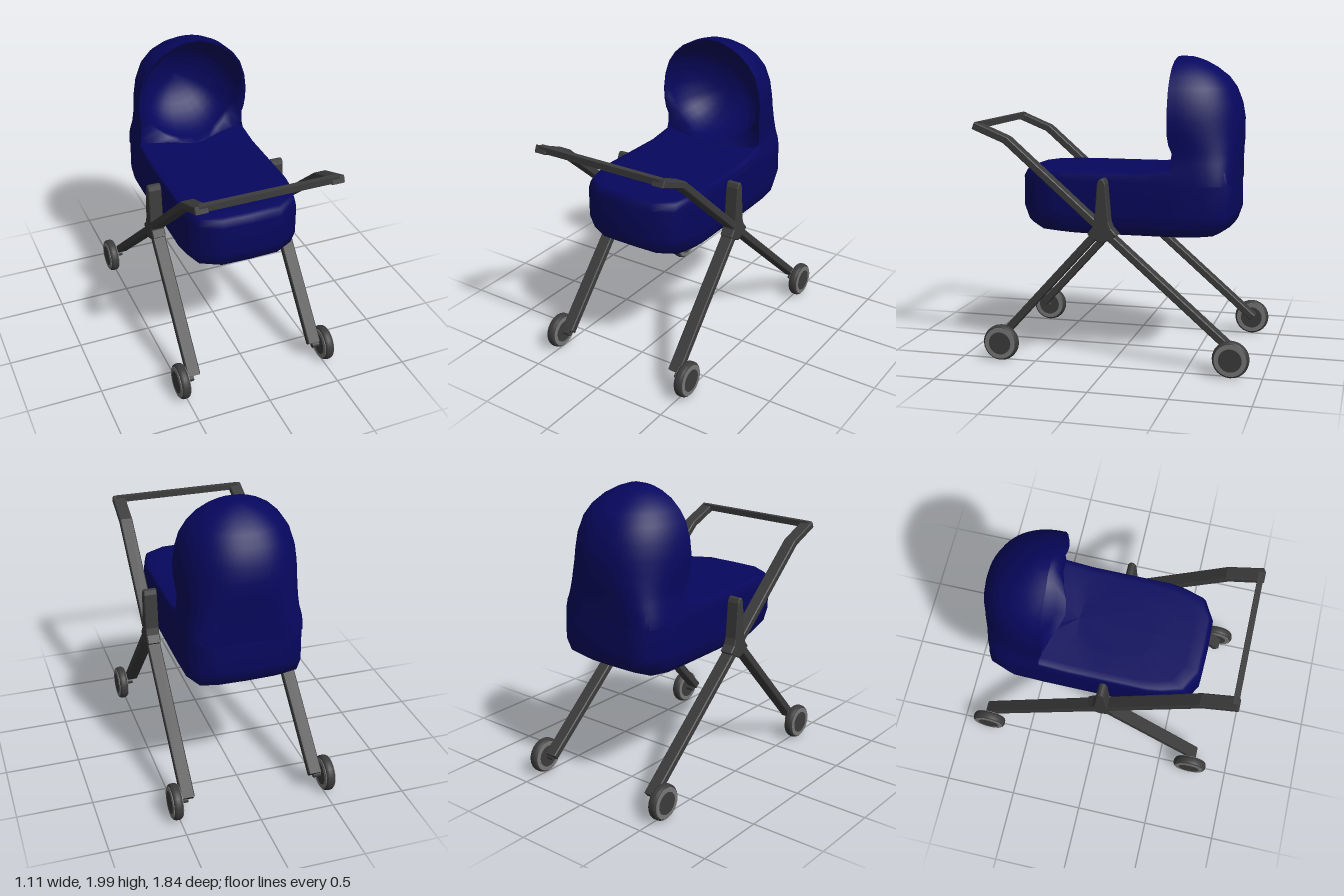
import * as THREE from 'three';

const fabric = new THREE.MeshStandardMaterial({ color: 0x07075e, side: THREE.DoubleSide });
const metal = new THREE.MeshStandardMaterial({ color: 0x3c3c3c });
const grey = new THREE.MeshStandardMaterial({ color: 0x777777 });

const lerp = THREE.MathUtils.lerp;

function add(parent, name, geometry, material) {
  const mesh = new THREE.Mesh(geometry, material);
  mesh.name = name;
  parent.add(mesh);
  return mesh;
}

// Skin over rows of [x, y, z] points
function loft(rows, closed) {
  const n = rows[0].length, index = [];
  for (let i = 0; i < rows.length - 1; i++) {
    for (let j = 0; j < (closed ? n : n - 1); j++) {
      const k = (j + 1) % n;
      const a = i * n + j, b = i * n + k, c = b + n, d = a + n;
      index.push(a, b, c, a, c, d);
    }
  }
  const g = new THREE.BufferGeometry();
  g.setAttribute('position', new THREE.Float32BufferAttribute(rows.flat(2), 3));
  g.setIndex(index);
  g.computeVertexNormals();
  return g;
}

// Plate drawn in the side plane as [z, y] points, centred on x = 0
function sidePlate(points, width) {
  const bevel = 0.006;
  const shape = new THREE.Shape(points.map(p => new THREE.Vector2(...p)));
  const depth = width - 2 * bevel;
  return new THREE.ExtrudeGeometry(shape, {
    depth, bevelSize: bevel, bevelThickness: bevel, bevelOffset: -bevel, bevelSegments: 1,
  }).translate(0, 0, -depth / 2).rotateY(-Math.PI / 2);
}

// Outline of a bent bar of even thickness
function strip(path, t) {
  const left = [], right = [];
  path.forEach((p, i) => {
    const a = path[Math.max(i - 1, 0)], b = path[Math.min(i + 1, path.length - 1)];
    const dz = b[0] - a[0], dy = b[1] - a[1], l = Math.hypot(dz, dy);
    const oz = -dy / l * t / 2, oy = dz / l * t / 2;
    left.push([p[0] + oz, p[1] + oy]);
    right.unshift([p[0] - oz, p[1] - oy]);
  });
  return [...left, ...right];
}

// Tub: one plan outline, resized at each height
function tubGeometry() {
  const half = [[0, 0.665], [0.2, 0.66], [0.335, 0.585], [0.375, 0.45], [0.39, 0.35], [0.39, 0.05],
    [0.39, -0.2], [0.39, -0.38], [0.385, -0.6], [0.335, -0.735], [0.2, -0.765], [0, -0.77]];
  const plan = [...half, ...half.slice(1, -1).reverse().map(([x, z]) => [-x, z])];
  // height, width scale, front z, back z
  const levels = [
    [0.833, 0, -0.05, -0.05], [0.833, 0.5, 0.36, -0.46], [0.842, 0.74, 0.47, -0.57],
    [0.862, 0.885, 0.57, -0.67], [0.91, 0.96, 0.638, -0.74], [1.0, 1, 0.668, -0.77],
    [1.2, 1, 0.668, -0.765], [1.245, 0.985, 0.647, -0.75], [1.262, 0.96, 0.63, -0.73],
    [1.264, 0.85, 0.55, -0.68], [1.264, 0.5, 0.3, -0.5], [1.264, 0, -0.2, -0.2],
  ];
  return loft(levels.map(([y, s, f, b]) => plan.map(([x, z]) => {
    const pz = lerp(b, f, (z + 0.77) / 1.435);
    const rise = y > 1.24 ? 0.028 * THREE.MathUtils.clamp((-0.2 - pz) / 0.18, 0, 1) : 0;
    return [x * s, y + rise, pz];
  })), true);
}

// Hood levels: height, half width, depth, front z
const hoodLevels = [
  [1.19, 0.391, 0.388, -0.38], [1.26, 0.386, 0.39, -0.38], [1.33, 0.372, 0.394, -0.38],
  [1.4, 0.37, 0.4, -0.38], [1.45, 0.376, 0.427, -0.36], [1.52, 0.383, 0.44, -0.35],
  [1.6, 0.386, 0.443, -0.35], [1.7, 0.374, 0.426, -0.35], [1.8, 0.342, 0.387, -0.35],
  [1.87, 0.294, 0.335, -0.35], [1.93, 0.228, 0.257, -0.35], [1.97, 0.153, 0.183, -0.352],
  [1.99, 0.092, 0.125, -0.355], [2.0, 0.045, 0.08, -0.36], [2.0, 0, 0, -0.36],
];

// Outer hood: boxy at the tub, round at the crown
function hoodGeometry() {
  const n = 32;
  return loft(hoodLevels.map(([y, w, d, front]) => {
    const e = lerp(0.42, 0.88, THREE.MathUtils.smoothstep(y, 1.2, 1.65));
    return Array.from({ length: n + 1 }, (_, i) => {
      const a = Math.PI * i / n, c = Math.cos(a), s = Math.max(Math.sin(a), 0);
      return [w * Math.sign(c) * Math.abs(c) ** e, y, front - d * s ** e];
    });
  }), false);
}

// Inner hood: a flange narrowing to an oval opening, then a bowl sunk back from it
function liningGeometry() {
  const side = [[0.1, 1.268, -0.31], [0.2, 1.272, -0.35], [0.31, 1.275, -0.378],
    ...hoodLevels.slice(2, -1).map(([y, w, , f]) => [w, y, f])];
  const rim = [[0, 1.265, -0.29], ...side, [0, 2, -0.36],
    ...side.slice().reverse().map(([x, y, z]) => [-x, y, z])];
  const cy = 1.625, deep = 0.35;
  const opening = rim.map(([x, y, z]) => {
    const k = Math.min(0.97, 1 / Math.hypot(x / 0.362, (y - cy) / 0.352));
    return [x * k, cy + (y - cy) * k, z - 0.006];
  });
  const rows = [rim, opening];
  for (let i = 1; i <= 10; i++) {
    const a = Math.PI / 2 * i / 10, r = Math.cos(a), k = Math.sin(a);
    rows.push(opening.map(([x, y, z]) => [x * r, cy + (y - cy) * r, lerp(z, -0.35 - deep, k)]));
  }
  return loft(rows, true);
}

// Wheel with its axle stub on the inner side
function createWheel(side) {
  const wheel = new THREE.Group();
  const disc = (r, w) => new THREE.CylinderGeometry(r, r, w, 24).rotateZ(Math.PI / 2);
  const tread = [[0.1, -0.03], [0.111, -0.027], [0.117, -0.018], [0.119, -0.008],
    [0.119, 0.008], [0.117, 0.018], [0.111, 0.027], [0.1, 0.03]];
  const tyre = new THREE.LatheGeometry(tread.map(p => new THREE.Vector2(...p)), 24);
  add(wheel, 'tyre', tyre.rotateZ(Math.PI / 2), metal);
  add(wheel, 'rim', disc(0.104, 0.066), grey);
  add(wheel, 'hubcap', disc(0.075, 0.07), metal);
  add(wheel, 'axle', disc(0.02, 0.08), metal).position.x = -side * 0.045;
  return wheel;
}

export function createModel() {
  const model = new THREE.Group();
  model.name = 'pram';

  // Bassinet
  add(model, 'tub', tubGeometry(), fabric);
  add(model, 'hood', hoodGeometry(), fabric);
  add(model, 'hoodLining', liningGeometry(), fabric);

  // Side frames and wheels
  const handlePath = [[0.915, 1.555], [0.695, 1.465], [0.05, 0.9], [-0.82, 0.145]];
  const frontLegPath = [[0.05, 0.92], [0.745, 0.155]];
  const joint = [[0.08, 1.2], [0.068, 1.228], [0.052, 1.234], [0.036, 1.228], [0.024, 1.2],
    [0.004, 0.96], [-0.012, 0.915], [-0.05, 0.875], [-0.025, 0.85], [0.015, 0.832],
    [0.05, 0.815], [0.085, 0.832], [0.12, 0.85], [0.145, 0.875], [0.115, 0.915], [0.099, 0.96]];
  for (const s of [1, -1]) {
    const frame = new THREE.Group();
    frame.name = s > 0 ? 'leftFrame' : 'rightFrame';
    frame.position.x = s * 0.438;
    add(frame, 'handleAndRearLeg', sidePlate(strip(handlePath, 0.048), 0.088), metal);
    add(frame, 'frontLeg', sidePlate(strip(frontLegPath, 0.05), 0.087), metal);
    add(frame, 'joint', sidePlate(joint, 0.09), metal);
    for (const [name, z] of [['frontWheel', 0.73], ['rearWheel', -0.8]]) {
      const wheel = createWheel(s);
      wheel.name = name;
      wheel.position.set(s * 0.082, 0.125, z);
      frame.add(wheel);
    }
    model.add(frame);
  }

  // Push bar
  add(model, 'pushBar', new THREE.BoxGeometry(0.9, 0.042, 0.036), metal).position.set(0, 1.555, 0.895);
  return model;
}
